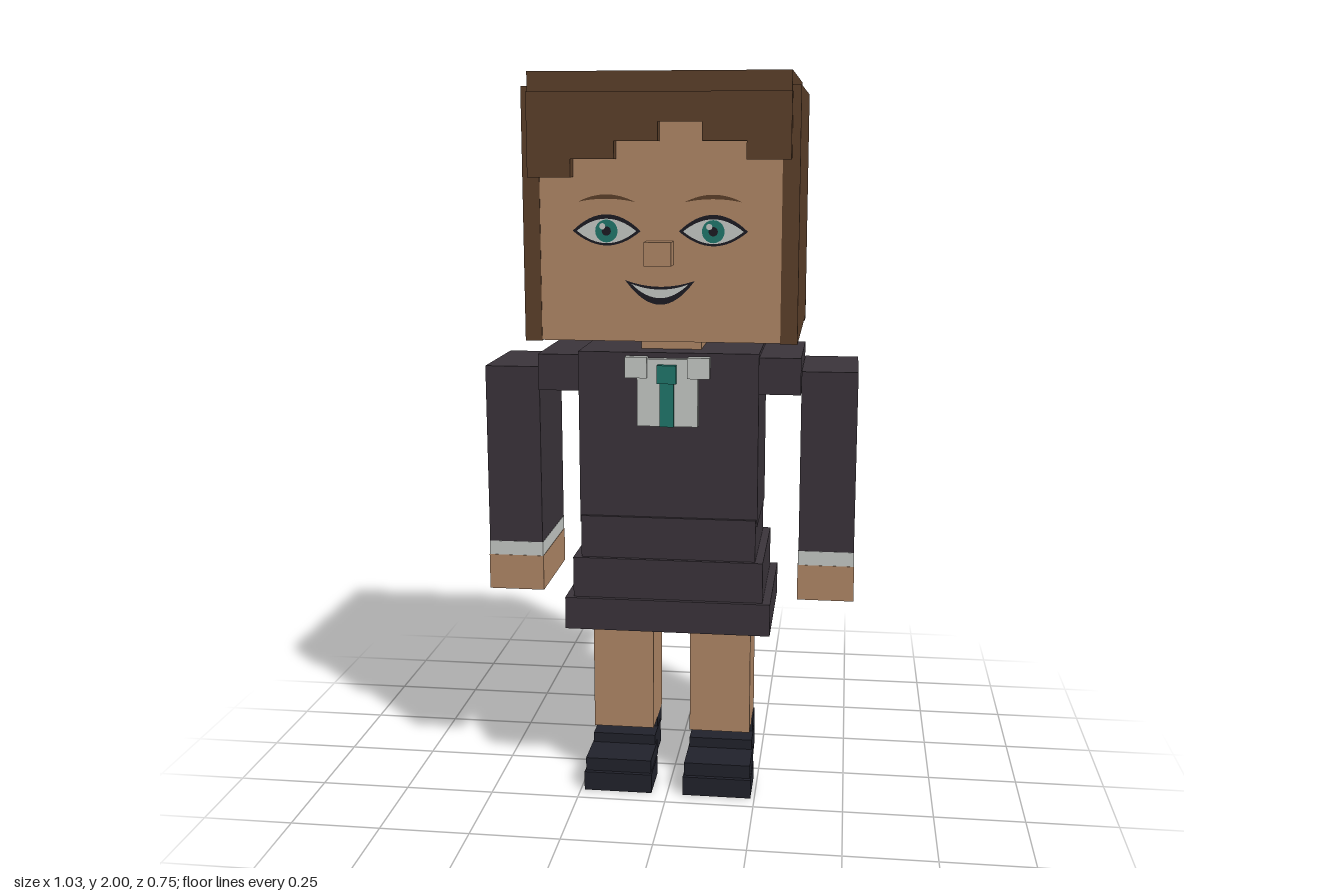
import * as THREE from 'three';

const mat = (name, color) => {
  const m = new THREE.MeshStandardMaterial({ color });
  m.name = name;
  return m;
};

export function createModel() {
  const hair = mat('hair brown', 0x5e412b);
  const skin = mat('skin', 0xb58b69);
  const suit = mat('suit charcoal', 0x3c353c);
  const white = mat('shirt white', 0xcbcfcb);
  const teal = mat('teal', 0x217a6e);
  const shoe = mat('shoe black', 0x22232d);
  const ink = mat('face outline', 0x1d1c24);

  const model = new THREE.Group();
  model.name = 'blockFigure';
  const group = (name) => {
    const g = new THREE.Group();
    g.name = name;
    model.add(g);
    return g;
  };
  // Box given by its extents on each axis
  const box = (parent, name, m, x0, x1, y0, y1, z0, z1) => {
    const mesh = new THREE.Mesh(new THREE.BoxGeometry(x1 - x0, y1 - y0, z1 - z0), m);
    mesh.position.set((x0 + x1) / 2, (y0 + y1) / 2, (z0 + z1) / 2);
    mesh.name = name;
    parent.add(mesh);
    return mesh;
  };
  // Box centred on x = cx with half width w
  const block = (parent, name, m, cx, w, y0, y1, z0, z1) =>
    box(parent, name, m, cx - w, cx + w, y0, y1, z0, z1);

  // Head
  const head = group('head');
  block(head, 'skull', skin, 0, 0.31, 1.322, 1.95, -0.3, 0.325);
  block(head, 'nose', skin, 0, 0.035, 1.52, 1.58, 0.325, 0.375);
  block(head, 'neck', skin, 0, 0.083, 1.26, 1.33, -0.095, 0.09);

  // Hair
  const hairGroup = group('hair');
  block(hairGroup, 'hairTop', hair, 0, 0.332, 1.945, 2, -0.335, 0.353);
  for (const s of [-1, 1]) block(hairGroup, 'hairSide', hair, s * 0.332, 0.022, 1.32, 1.965, -0.33, 0.327);
  block(hairGroup, 'hairBack', hair, 0, 0.333, 1.4, 1.945, -0.345, -0.295);
  block(hairGroup, 'hairRoll', hair, 0, 0.353, 1.307, 1.405, -0.375, -0.295);

  // Stepped fringe
  const fringe = new THREE.Shape();
  fringe.moveTo(-0.333, 1.95);
  [1.74, 1.785, 1.83, 1.877, 1.83, 1.785].forEach((y, i) => {
    fringe.lineTo(-0.333 + i * 0.111, y);
    fringe.lineTo(-0.222 + i * 0.111, y);
  });
  fringe.lineTo(0.333, 1.95);
  const fringeMesh = new THREE.Mesh(
    new THREE.ExtrudeGeometry(fringe, { depth: 0.042, bevelEnabled: false }), hair);
  fringeMesh.position.z = 0.323;
  fringeMesh.name = 'fringe';
  hairGroup.add(fringeMesh);

  // Flat face details
  const face = group('face');
  const decal = (name, geo, m, x, y, layer) => {
    const mesh = new THREE.Mesh(geo, m);
    mesh.position.set(x, y, 0.326 + layer * 0.0015);
    mesh.name = name;
    face.add(mesh);
  };
  // Shape between two curved edges with corners at (-w, y) and (w, y)
  const lens = (w, y, top, bottom) => {
    const s = new THREE.Shape();
    s.moveTo(-w, y);
    s.quadraticCurveTo(0, 2 * bottom - y, w, y);
    s.quadraticCurveTo(0, 2 * top - y, -w, y);
    return new THREE.ShapeGeometry(s, 16);
  };
  for (const s of [-1, 1]) {
    const x = s * 0.137;
    decal('eyeOutline', lens(0.088, 0, 0.042, -0.037), ink, x, 1.605, 1);
    decal('eyeWhite', lens(0.077, 0, 0.031, -0.031), white, x, 1.605, 2);
    decal('iris', new THREE.CircleGeometry(0.029, 20), teal, x, 1.605, 3);
    decal('pupil', new THREE.CircleGeometry(0.012, 14), ink, x, 1.605, 4);
    decal('eyeGlint', new THREE.CircleGeometry(0.008, 10), white, x - 0.01, 1.617, 5);
    decal('eyebrow', lens(0.074, 0, 0.019, 0.008), hair, x, 1.678, 1);
  }
  decal('mouth', lens(0.09, 0, -0.016, -0.062), ink, 0, 1.48, 1);
  decal('teeth', lens(0.074, 0, -0.014, -0.036), white, 0, 1.471, 2);

  // Jacket
  const jacket = group('jacket');
  block(jacket, 'torso', suit, 0, 0.247, 0.79, 1.27, -0.17, 0.165);
  block(jacket, 'shoulders', suit, 0, 0.36, 1.16, 1.26, -0.175, 0.161);
  block(jacket, 'waist', suit, 0, 0.243, 0.68, 0.81, -0.183, 0.175);

  // Skirt
  const skirt = group('skirt');
  block(skirt, 'skirtUpper', suit, 0, 0.265, 0.57, 0.692, -0.194, 0.187);
  block(skirt, 'skirtHem', suit, 0, 0.287, 0.487, 0.578, -0.206, 0.2);

  // Shirt front, collar and tie
  const shirt = group('shirt');
  block(shirt, 'shirtFront', white, 0, 0.083, 1.07, 1.255, 0.16, 0.184);
  for (const s of [-1, 1]) block(shirt, 'collar', white, s * 0.085, 0.03, 1.203, 1.26, 0.155, 0.191);
  block(shirt, 'tie', teal, 0, 0.019, 1.071, 1.2, 0.18, 0.197);
  block(shirt, 'tieKnot', teal, 0, 0.026, 1.19, 1.24, 0.18, 0.202);

  for (const s of [-1, 1]) {
    const side = s > 0 ? 'left' : 'right';

    // Arm
    const arm = group(side + 'Arm');
    block(arm, 'sleeve', suit, s * 0.437, 0.076, 0.72, 1.222, -0.154, 0.144);
    block(arm, 'cuff', white, s * 0.437, 0.077, 0.68, 0.72, -0.154, 0.145);
    block(arm, 'hand', skin, s * 0.437, 0.078, 0.58, 0.68, -0.155, 0.146);

    // Leg
    const leg = group(side + 'Leg');
    block(leg, 'shin', skin, s * 0.14, 0.087, 0.152, 0.5, -0.095, 0.09);

    // Shoe with raised heel
    const foot = group(side + 'Shoe');
    block(foot, 'sole', shoe, s * 0.142, 0.097, 0, 0.055, 0.07, 0.2);
    block(foot, 'toe', shoe, s * 0.142, 0.094, 0.05, 0.093, 0.04, 0.188);
    block(foot, 'instep', shoe, s * 0.142, 0.091, 0.05, 0.122, -0.05, 0.075);
    block(foot, 'ankle', shoe, s * 0.142, 0.089, 0.105, 0.157, -0.085, 0.008);
    block(foot, 'heel', shoe, s * 0.142, 0.048, 0, 0.095, -0.108, -0.022);
    block(foot, 'heelCup', shoe, s * 0.142, 0.06, 0.055, 0.12, -0.085, 0);
  }

  return model;
}
